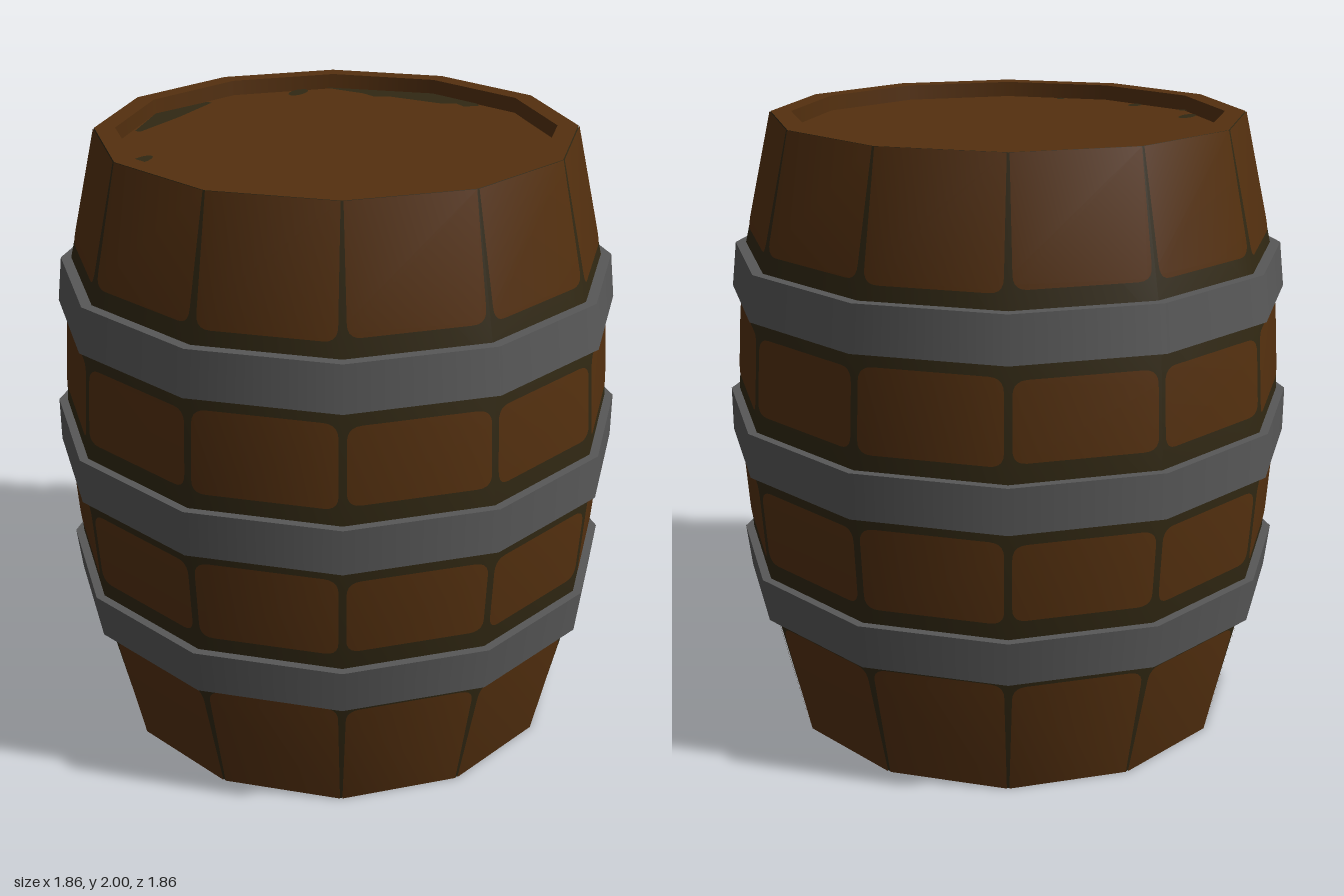
import * as THREE from 'three';
import { mergeGeometries } from 'three/addons/utils/BufferGeometryUtils.js';

const SIDES = 12;
const HALF = Math.PI / SIDES;
const PROFILE = [[0.755, 0], [0.872, 0.5], [0.905, 1], [0.872, 1.5], [0.755, 2]];

const mat = (name, color) => {
  const m = new THREE.MeshStandardMaterial({ color });
  m.name = name;
  return m;
};

// Twelve-sided surface of revolution; upward profiles face outwards
const lathe = (pts) =>
  new THREE.LatheGeometry(pts.map(([r, y]) => new THREE.Vector2(r, y)), SIDES);

// Keeps each profile segment creased against the next
const creasedLathe = (pts) =>
  mergeGeometries(pts.slice(1).map((p, i) => lathe([pts[i], p])));

// Barrel radius at a height
function radius(y) {
  const i = Math.min(3, Math.floor(y / 0.5));
  return THREE.MathUtils.lerp(PROFILE[i][0], PROFILE[i + 1][0], (y - i * 0.5) / 0.5);
}

// One stave panel: square at the barrel ends, rounded beside the hoops
function panelGeometry(y0, y1) {
  const half = (y) => radius(y) * Math.sin(HALF) - (y < 0.05 || y > 1.95 ? 0.003 : 0.011);
  const c0 = y0 < 0.05 ? 0 : 0.045;
  const c1 = y1 > 1.95 ? 0 : 0.045;
  const w0 = half(y0), w1 = half(y1), v0 = half(y0 + c0), v1 = half(y1 - c1);
  const s = new THREE.Shape();
  s.moveTo(-w0 + c0, y0);
  s.lineTo(w0 - c0, y0);
  if (c0) s.quadraticCurveTo(w0, y0, v0, y0 + c0);
  s.lineTo(v1, y1 - c1);
  if (c1) s.quadraticCurveTo(w1, y1, w1 - c1, y1);
  s.lineTo(-w1 + c1, y1);
  if (c1) s.quadraticCurveTo(-w1, y1, -v1, y1 - c1);
  s.lineTo(-v0, y0 + c0);
  if (c0) s.quadraticCurveTo(-w0, y0, -w0 + c0, y0);
  const g = new THREE.ShapeGeometry(s, 5);
  const p = g.attributes.position, n = g.attributes.normal;
  const dir = new THREE.Vector3();
  for (let i = 0; i < p.count; i++) {
    const x = p.getX(i), y = p.getY(i);
    const z = radius(y) * Math.cos(HALF);
    p.setZ(i, z + 0.004);
    // Round normals soften the facets
    dir.set(x, 0, z).normalize().setY(0.24 * (y - 1)).normalize();
    n.setXYZ(i, dir.x, dir.y, dir.z);
  }
  return g;
}

// Lid, rim and stains, measured from the barrel's middle
function makeEnd(name, wood, dark) {
  const end = new THREE.Group();
  end.name = name;
  const rim = new THREE.Mesh(
    creasedLathe([[0.755, 1], [0.69, 1], [0.69, 0.95], [0, 0.95]]), wood);
  rim.name = 'rimAndLid';
  end.add(rim);

  const outlines = [
    [[-0.39, 0.585], [-0.33, 0.575], [-0.21, 0.57], [-0.16, 0.55], [-0.11, 0.575], [0.08, 0.575],
      [0.13, 0.6], [0.17, 0.575], [0.21, 0.61], [0.19, 0.633], [0, 0.685], [-0.335, 0.59]],
    [[-0.685, 0], [-0.62, -0.21], [-0.6, -0.21], [-0.592, 0], [-0.6, 0.21], [-0.62, 0.21]],
  ].map((pts) => new THREE.Shape(pts.map(([x, y]) => new THREE.Vector2(x, y))));
  const spots = [[-0.415, 0.475, 0.027, 0.05], [-0.415, -0.465, 0.023, 0.05],
    [-0.155, -0.605, 0.022, 0.03], [0.14, -0.615, 0.014, 0.016], [-0.35, -0.58, 0.016, 0.016]];
  for (const [x, y, rx, ry] of spots) {
    const s = new THREE.Shape();
    s.absellipse(x, y, rx, ry, 0, Math.PI * 2);
    outlines.push(s);
  }
  const stains = new THREE.Mesh(new THREE.ShapeGeometry(outlines, 6), dark);
  stains.name = 'lidStains';
  stains.rotation.x = -Math.PI / 2;
  stains.position.y = 0.954;
  end.add(stains);
  end.position.y = 1;
  return end;
}

export function createModel() {
  const wood = mat('brownWood', 0x54300f);
  const dark = mat('darkSeams', 0x312813);
  const iron = mat('greyIron', 0x585858);
  const barrel = new THREE.Group();
  barrel.name = 'barrel';

  // Bulging body in the seam colour
  const body = new THREE.Mesh(lathe(PROFILE), dark);
  body.name = 'body';
  barrel.add(body);

  // Four rows of stave panels
  const rows = [[0, 0.4], [0.635, 0.885], [1.135, 1.38], [1.63, 2]];
  rows.forEach(([y0, y1], row) => {
    const parts = [];
    for (let k = 0; k < SIDES; k++) {
      const grow = k % 3 === 0 ? 0.009 : 0;
      const g = panelGeometry(y0 ? y0 - grow : 0, y1 < 2 ? y1 + grow : 2);
      parts.push(g.rotateY((2 * k + 1) * HALF));
    }
    const mesh = new THREE.Mesh(mergeGeometries(parts), wood);
    mesh.name = `stavePanels${row + 1}`;
    barrel.add(mesh);
  });

  // Iron hoops: name, bottom height, bottom and top radius
  for (const [name, y, r0, r1] of [['lowerHoop', 0.43, 0.888, 0.905],
    ['middleHoop', 0.93, 0.928, 0.928], ['upperHoop', 1.43, 0.905, 0.888]]) {
    const top = y + 0.145;
    const hoop = new THREE.Mesh(creasedLathe(
      [[radius(y) - 0.01, y], [r0, y], [r1, top], [radius(top) - 0.01, top]]), iron);
    hoop.name = name;
    barrel.add(hoop);
  }

  // Matching recessed ends
  const bottom = makeEnd('bottomEnd', wood, dark);
  bottom.rotation.x = Math.PI;
  barrel.add(makeEnd('topEnd', wood, dark), bottom);
  return barrel;
}
